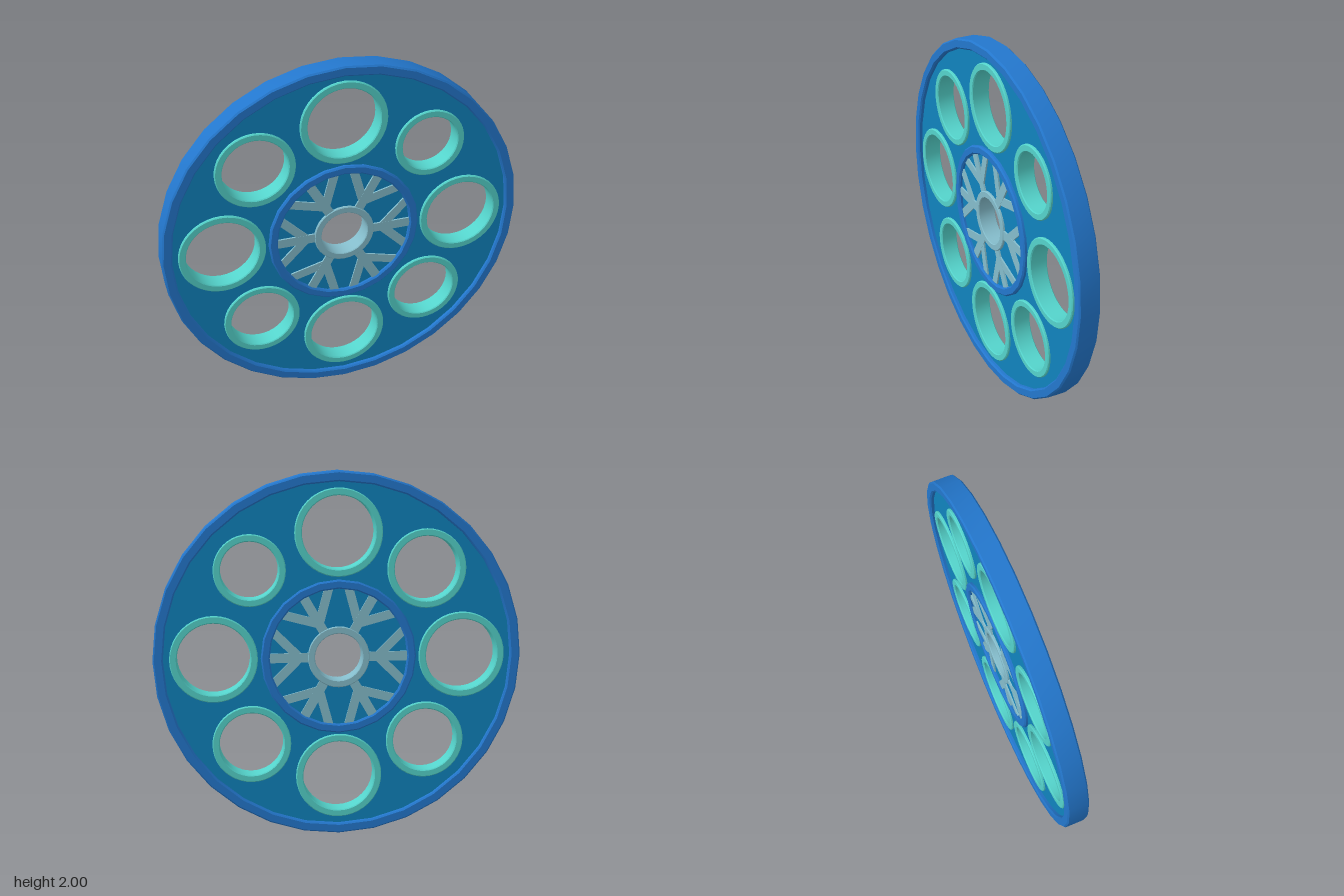
import * as THREE from 'three';
import { toCreasedNormals } from 'three/addons/utils/BufferGeometryUtils.js';

const mat = (name, color) => new THREE.MeshStandardMaterial({ name, color });

// Ring facing +z with a chamfered rectangular section, centred on z = 0
function ringGeometry(inner, outer, half, bevel, segments) {
  const profile = [
    [outer, -half + bevel], [outer, half - bevel], [outer - bevel, half],
    [inner + bevel, half], [inner, half - bevel],
    [inner, -half + bevel], [inner + bevel, -half], [outer - bevel, -half],
    [outer, -half + bevel],
  ].map(([r, y]) => new THREE.Vector2(r, y));
  const geometry = new THREE.LatheGeometry(profile, segments).rotateX(Math.PI / 2);
  return toCreasedNormals(geometry, 0.6);
}

export function createModel() {
  const rimBlue = mat('rim blue', 0x2377cd);
  const discBlue = mat('disc blue', 0x1083bd);
  const teal = mat('teal', 0x54d3cb);
  const frost = mat('frost', 0x84bccb);

  const model = new THREE.Group();
  model.name = 'wheel';
  const wheel = new THREE.Group();
  wheel.name = 'wheelBody';
  wheel.position.y = 1;
  model.add(wheel);

  const add = (name, geometry, material, x = 0, y = 0, parent = wheel) => {
    const mesh = new THREE.Mesh(geometry, material);
    mesh.name = name;
    mesh.position.set(x, y, 0);
    parent.add(mesh);
    return mesh;
  };

  // Round openings: centre x, centre y, inner radius, outer radius
  const openings = [
    [0, 0.675, 0.197, 0.237], [0, -0.67, 0.197, 0.237],
    [0.675, 0, 0.197, 0.237], [-0.675, 0, 0.197, 0.237],
    [-0.477, 0.477, 0.176, 0.215], [-0.477, -0.477, 0.176, 0.215],
    [0.477, -0.477, 0.176, 0.215], [0.477, 0.477, 0.155, 0.194],
  ];

  // Pierced disc
  const discHalf = 0.036;
  const disc = new THREE.Shape().absarc(0, 0, 0.97, 0, Math.PI * 2);
  for (const [x, y, inner] of [...openings, [0, 0, 0.13]]) {
    disc.holes.push(new THREE.Path().absarc(x, y, inner + 0.018, 0, Math.PI * 2, true));
  }
  const discGeometry = new THREE.ExtrudeGeometry(disc, {
    depth: discHalf * 2, bevelEnabled: false, curveSegments: 32,
  }).translate(0, 0, -discHalf);
  add('disc', discGeometry, discBlue);

  // Outer rim and the ring around the centre
  add('rim', ringGeometry(0.945, 1, 0.06, 0.008, 32), rimBlue);
  add('centreRing', ringGeometry(0.375, 0.423, 0.056, 0.008, 24), rimBlue);

  // Collars lining the openings
  for (const [x, y, inner, outer] of openings) {
    add('collar', ringGeometry(inner, outer, 0.05, 0.005, 40), teal, x, y);
  }

  // Snowflake: hub with six forked arms, showing on both faces
  const snowflake = new THREE.Group();
  snowflake.name = 'snowflake';
  wheel.add(snowflake);
  add('hub', ringGeometry(0.13, 0.168, 0.05, 0.004, 32), frost, 0, 0, snowflake);

  const thickness = 0.092;
  const stemGeometry = new THREE.BoxGeometry(0.23, 0.052, thickness);
  const branchGeometry = new THREE.BoxGeometry(0.2, 0.048, thickness - 0.002);
  for (let i = 0; i < 6; i++) {
    const arm = new THREE.Group();
    arm.name = 'arm';
    arm.rotation.z = i * Math.PI / 3;
    snowflake.add(arm);
    add('stem', stemGeometry, frost, 0.27, 0, arm);
    for (const side of [1, -1]) {
      add('branch', branchGeometry, frost, 0.282, side * 0.07, arm).rotation.z = side * Math.PI / 4;
    }
  }
  return model;
}
